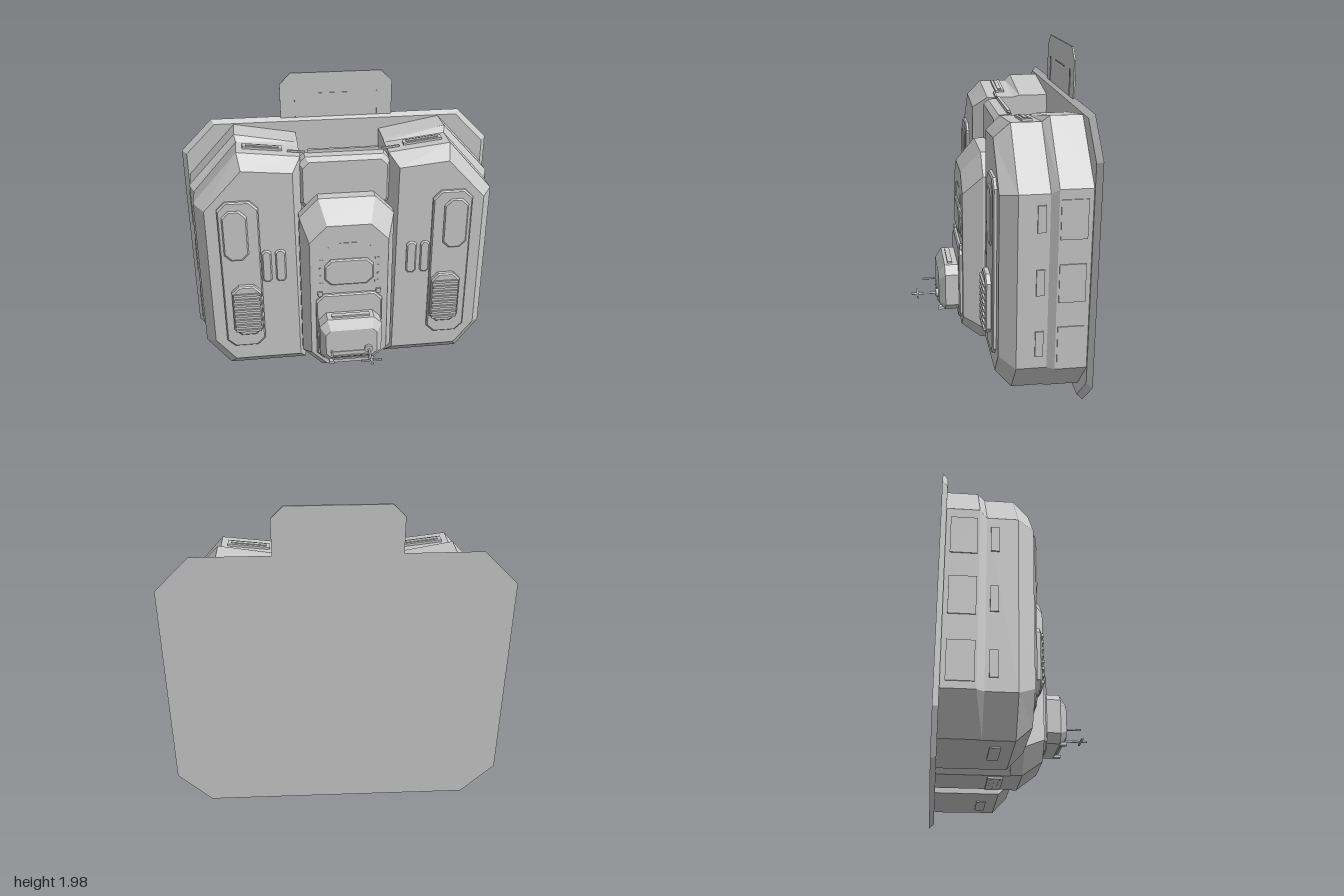
import * as THREE from 'three';

const hull = new THREE.MeshStandardMaterial({ color: 0xc8c8c8 });
hull.name = 'hull grey';

// Solid through convex counter-clockwise rings [z, [[x, y], ...]], ordered back to front
function loft(rings) {
  const pos = [];
  const tri = (a, b, c) => pos.push(...a, ...b, ...c);
  const loops = rings.map(([z, pts]) => pts.map(([x, y]) => [x, y, z]));
  const n = loops[0].length;
  for (let k = 0; k < loops.length - 1; k++) {
    const a = loops[k], b = loops[k + 1];
    for (let i = 0; i < n; i++) {
      const j = (i + 1) % n;
      tri(a[i], a[j], b[j]);
      tri(a[i], b[j], b[i]);
    }
  }
  const back = loops[0], front = loops[loops.length - 1];
  for (let i = 1; i < n - 1; i++) {
    tri(back[0], back[i + 1], back[i]);
    tri(front[0], front[i], front[i + 1]);
  }
  const g = new THREE.BufferGeometry();
  g.setAttribute('position', new THREE.Float32BufferAttribute(pos, 3));
  g.computeVertexNormals();
  return g;
}

// Rectangle with cut corners: bottom cut c, top cut t
function octagon(x0, y0, x1, y1, c, t = c) {
  return [[x0 + c, y0], [x1 - c, y0], [x1, y0 + c], [x1, y1 - t],
    [x1 - t, y1], [x0 + t, y1], [x0, y1 - t], [x0, y0 + c]];
}

const mirrored = pts => pts.map(([x, y]) => [-x, y]).reverse();

export function createModel() {
  const model = new THREE.Group();
  model.name = 'equipmentPack';

  const add = (name, geo, parent = model) => {
    const m = new THREE.Mesh(geo, hull);
    m.name = name;
    parent.add(m);
    return m;
  };
  const box = (name, x, y, z, w, h, d, parent) => {
    const m = add(name, new THREE.BoxGeometry(w, h, d), parent);
    m.position.set(x, y, z);
    return m;
  };
  // Raised plate with a small bevelled rim
  const plate = (name, x0, y0, x1, y1, z0, z1, c, parent) => {
    const b = 0.008;
    return add(name, loft([
      [z0, octagon(x0, y0, x1, y1, c)],
      [z1 - b, octagon(x0, y0, x1, y1, c)],
      [z1, octagon(x0 + b, y0 + b, x1 - b, y1 - b, c)],
    ]), parent);
  };

  // Back plate and its upper tab
  add('backPlate', loft([
    [-0.48, octagon(-1, 0, 1, 1.7, 0.2)],
    [-0.45, octagon(-0.97, 0.025, 0.97, 1.675, 0.19)],
  ]));
  add('topTab', loft([-0.48, -0.47].map(z => [z,
    [[-0.36, 1.6], [0.355, 1.6], [0.355, 1.91], [0.285, 1.98], [-0.29, 1.98], [-0.36, 1.91]]])));
  box('tabSlot', 0, 1.845, -0.469, 0.23, 0.006, 0.006);
  for (const s of [-1, 1]) {
    box('tabBracket', s * 0.262, 1.75, -0.469, 0.008, 0.11, 0.006);
    box('tabBracketEnd', s * 0.262, 1.825, -0.469, 0.014, 0.05, 0.006);
  }

  // Two mirrored side modules
  const rear = [[0.27, 0.11], [0.79, 0.11], [0.957, 0.31], [0.957, 1.35], [0.66, 1.67], [0.27, 1.6]];
  const middle = [[0.27, 0.11], [0.78, 0.11], [0.93, 0.31], [0.93, 1.32], [0.65, 1.635], [0.27, 1.59]];
  const face = [[0.31, 0.2], [0.74, 0.2], [0.865, 0.36], [0.865, 1.3], [0.63, 1.55], [0.325, 1.52]];
  for (const s of [-1, 1]) {
    const side = new THREE.Group();
    side.name = s > 0 ? 'leftModule' : 'rightModule';
    model.add(side);
    const f = s > 0 ? p => p : mirrored;
    add('moduleShell', loft([[-0.46, f(rear)], [-0.27, f(rear)], [-0.23, f(middle)],
      [-0.06, f(middle)], [0.03, f(face)]]), side);
    const panel = (name, a, y0, b, y1, z0, z1, c) =>
      plate(name, Math.min(s * a, s * b), y0, Math.max(s * a, s * b), y1, z0, z1, c, side);

    // Long front panel with a raised cover and a louvred vent
    panel('frontPanel', 0.54, 0.315, 0.79, 1.36, 0.025, 0.053, 0.05);
    panel('upperCover', 0.612, 0.965, 0.765, 1.305, 0.05, 0.062, 0.04);
    panel('ventHousing', 0.55, 0.42, 0.737, 0.785, 0.05, 0.085, 0.045);
    for (let i = 0; i < 8; i++)
      box('ventSlat', s * 0.644, 0.46 + i * 0.0385, 0.088, 0.165, 0.016, 0.018, side);
    panel('innerTab', 0.475, 0.785, 0.535, 1.01, 0.025, 0.04, 0.015);
    panel('innerTab', 0.385, 0.785, 0.45, 1.01, 0.025, 0.04, 0.015);

    // Hatches and slots down the outer wall
    for (const y of [0.46, 0.825, 1.185]) {
      box('sideHatch', s * 0.956, y, -0.353, 0.014, 0.22, 0.145, side);
      box('sideSlot', s * 0.931, y, -0.185, 0.016, 0.15, 0.045, side);
    }

    // Vents above and below
    const top = box('topVent', s * 0.495, 1.616, -0.157, 0.24, 0.028, 0.058, side);
    top.rotation.z = s * 0.118;
    const grille = box('topVentGrille', s * 0.494, 1.628, -0.157, 0.2, 0.014, 0.025, side);
    grille.rotation.z = s * 0.118;
    box('bottomVent', s * 0.57, 0.109, -0.155, 0.22, 0.012, 0.06, side);
  }

  // Central body
  const core = octagon(-0.295, 0.11, 0.295, 1.35, 0.13, 0.12);
  add('centreShell', loft([
    [-0.03, core], [0.04, core],
    [0.16, octagon(-0.245, 0.2, 0.245, 1.22, 0.1, 0.11)],
  ]));
  add('centreBase', loft([-0.46, -0.02].map(z => [z, octagon(-0.27, 0.11, 0.27, 1.25, 0.12, 0.02)])));
  box('centreBottomVent', 0, 0.106, -0.11, 0.25, 0.016, 0.09);
  for (let i = 0; i < 3; i++) box('centreBottomSlat', 0, 0.1, -0.135 + i * 0.025, 0.21, 0.008, 0.01);

  // Upper front panel, hinge bar and louvred recess behind it
  add('upperPanel', loft([
    [-0.12, octagon(-0.265, 1.24, 0.265, 1.59, 0.03, 0.02)],
    [-0.06, octagon(-0.28, 1.23, 0.28, 1.585, 0.05, 0.04)],
    [-0.03, octagon(-0.26, 1.25, 0.26, 1.56, 0.05, 0.04)],
  ]));
  box('hingeBar', 0, 1.596, -0.122, 0.44, 0.025, 0.02);
  for (const s of [-1, 1]) {
    const strap = box('hingeStrap', s * 0.29, 1.603, -0.115, 0.11, 0.012, 0.012);
    strap.rotation.z = s * 0.118;
    box('recessRail', s * 0.253, 1.27, -0.29, 0.032, 0.08, 0.32);
  }
  for (let i = 0; i < 6; i++) {
    const slat = box('recessLouvre', 0, 1.26, -0.42 + i * 0.053, 0.47, 0.016, 0.042);
    slat.rotation.x = 0.25;
  }

  // Details on the central face
  plate('centreCover', -0.155, 0.81, 0.152, 0.99, 0.155, 0.175, 0.04);
  box('centreSlot', 0, 1.1, 0.161, 0.12, 0.006, 0.006);
  for (const s of [-1, 1]) {
    box('centreSeam', s * 0.132, 1.04, 0.161, 0.006, 0.07, 0.006);
    for (let i = 0; i < 4; i++) {
      box('rivet', s * 0.182, 0.82 + i * 0.055, 0.161, 0.01, 0.012, 0.008);
      box('rivet', s * 0.165, 0.82 + i * 0.055, 0.161, 0.006, 0.012, 0.006);
    }
    box('clip', s * 0.185, 0.75, 0.165, 0.03, 0.03, 0.02);
  }

  // Lower pouch on its mounting plate
  plate('pouchMount', -0.212, 0.26, 0.208, 0.745, 0.155, 0.182, 0.045);
  add('pouch', loft([
    [0.17, octagon(-0.2, 0.31, 0.195, 0.615, 0.05)],
    [0.265, octagon(-0.2, 0.31, 0.195, 0.615, 0.05)],
    [0.305, octagon(-0.165, 0.355, 0.16, 0.555, 0.03)],
  ]));
  box('pouchLatch', 0, 0.618, 0.23, 0.24, 0.018, 0.03);
  box('pouchStrip', -0.01, 0.392, 0.306, 0.22, 0.01, 0.008);
  box('pouchStrip', -0.005, 0.362, 0.304, 0.23, 0.01, 0.012);
  box('pouchStrip', -0.005, 0.328, 0.287, 0.23, 0.01, 0.012);
  for (const x of [-0.13, 0.125]) box('pouchFoot', x, 0.315, 0.285, 0.03, 0.018, 0.045);

  // Valve with crossbar, and a short pin
  const rod = (name, x, y, z0, z1, r) => {
    const m = add(name, new THREE.CylinderGeometry(r, r, z1 - z0, 12));
    m.rotation.x = Math.PI / 2;
    m.position.set(x, y, (z0 + z1) / 2);
  };
  rod('valveCollar', 0.105, 0.41, 0.29, 0.322, 0.026);
  rod('valveStem', 0.105, 0.41, 0.3, 0.475, 0.007);
  box('valveCrossbar', 0.105, 0.41, 0.437, 0.13, 0.01, 0.01);
  rod('pin', -0.13, 0.405, 0.29, 0.395, 0.006);

  return model;
}
